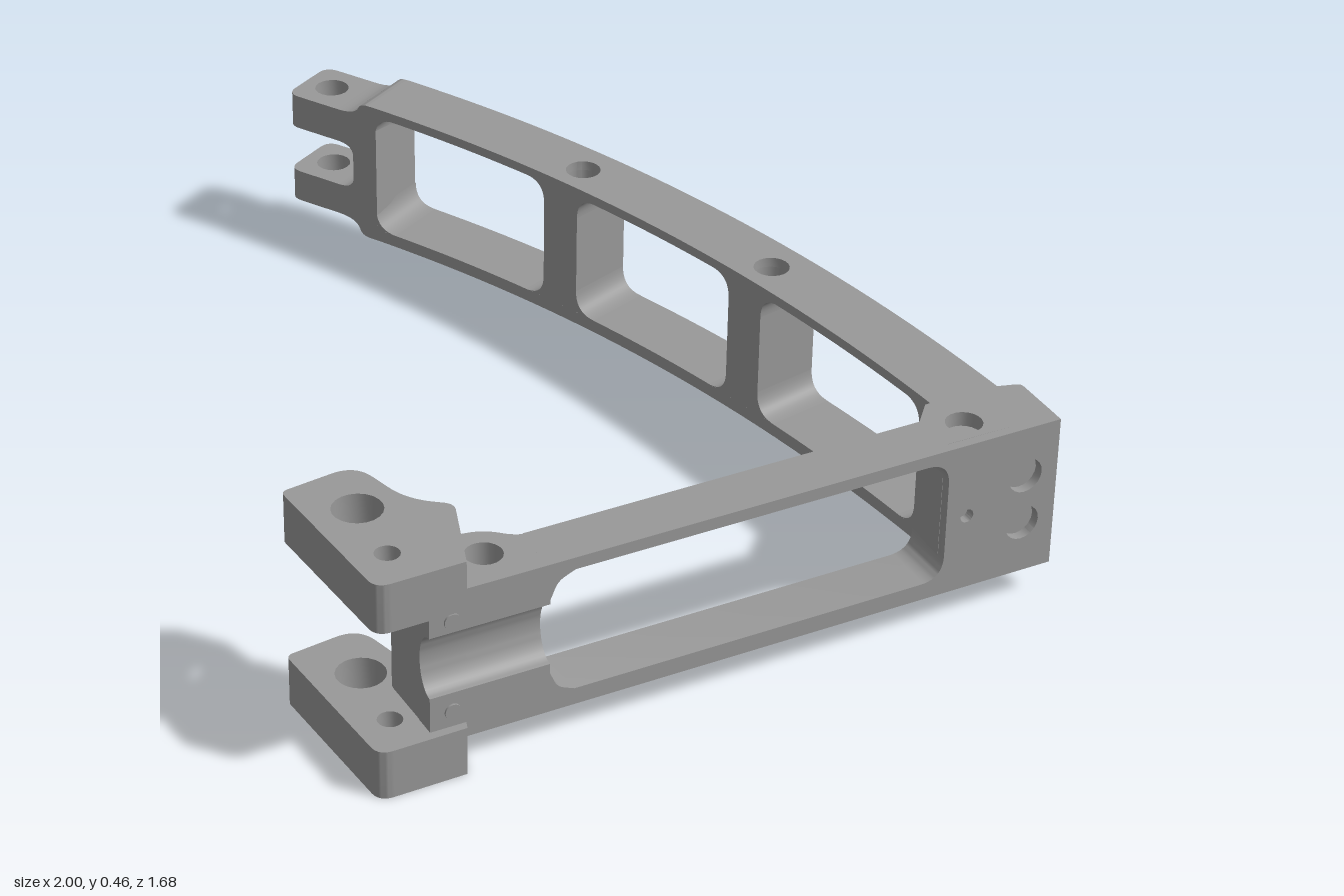
import * as THREE from 'three';
import { toCreasedNormals } from 'three/addons/utils/BufferGeometryUtils.js';

// Dark grey metal
const material = new THREE.MeshStandardMaterial({ color: 0x999999 });
const LOW = 0.07, HIGH = 0.39;

// Polygon whose corners [x, y, radius] may be rounded, always counter-clockwise
function rounded(corners) {
  const flat = corners.map(([x, y]) => new THREE.Vector2(x, y));
  const pts = THREE.ShapeUtils.isClockWise(flat) ? [...corners].reverse() : corners;
  const shape = new THREE.Shape();
  pts.forEach(([x, y, r = 0], i) => {
    const toward = ([qx, qy]) => new THREE.Vector2(qx - x, qy - y).setLength(r).add({ x, y });
    const a = toward(pts[(i + pts.length - 1) % pts.length]);
    const b = toward(pts[(i + 1) % pts.length]);
    if (i === 0) shape.moveTo(a.x, a.y); else shape.lineTo(a.x, a.y);
    if (r) shape.quadraticCurveTo(x, y, b.x, b.y);
  });
  shape.closePath();
  return shape;
}

function extrude(shape, depth) {
  const g = new THREE.ExtrudeGeometry(shape, { depth, bevelEnabled: false, curveSegments: 10 });
  return toCreasedNormals(g, 0.6);
}

function add(parent, name, geometry) {
  const mesh = new THREE.Mesh(geometry, material);
  mesh.name = name;
  parent.add(mesh);
  return mesh;
}

const circle = (x, y, r) => new THREE.Path().absarc(x, y, r, 0, Math.PI * 2, true);

// Plan outline in x, z raised from y0 to y1, with vertical holes [x, z, radius]
function plan(parent, name, pts, y0, y1, holes = []) {
  const shape = rounded(pts.map(([x, z, r]) => [x, -z, r]));
  holes.forEach(([x, z, r]) => shape.holes.push(circle(x, -z, r)));
  const g = extrude(shape, y1 - y0);
  g.rotateX(-Math.PI / 2);
  g.translate(0, y0, 0);
  add(parent, name, g);
}

// Centre line of the curved arm and a band of constant width along it
const HALF = 0.072;
const arcZ = x => -0.775 + 0.145 * (x + 0.85) ** 2;
const slope = x => 0.29 * (x + 0.85);
function band(x0, x1, n) {
  const outer = [], inner = [];
  for (let i = 0; i <= n; i++) {
    const x = x0 + (x1 - x0) * i / n, m = slope(x), k = HALF / Math.hypot(1, m);
    outer.push([x + m * k, arcZ(x) - k]);
    inner.unshift([x - m * k, arcZ(x) + k]);
  }
  return [...outer, ...inner];
}

function buildArm() {
  const arm = new THREE.Group();
  arm.name = 'curvedArm';
  const pinHoles = [-0.26, 0.265].map(x => [x, arcZ(x) + 0.005, 0.036]);
  const y0 = 0.097, y1 = 0.37;

  // Rails and the posts that part the windows
  plan(arm, 'lowerRail', band(-0.79, 0.82, 32), LOW, y0, pinHoles);
  plan(arm, 'upperRail', band(-0.79, 0.82, 32), y1, HIGH, pinHoles);
  pinHoles.forEach(h => plan(arm, 'windowPost', band(h[0] - 0.046, h[0] + 0.046, 4), y0, y1, [h]));
  plan(arm, 'armEnd', band(0.775, 0.82, 2), y0, y1);

  // Rounded window corners
  const r = 0.05;
  const corner = new THREE.Shape();
  corner.moveTo(0, 0);
  corner.lineTo(r, 0);
  corner.quadraticCurveTo(0, 0, 0, r);
  const cornerGeo = extrude(corner, HALF * 2);
  cornerGeo.translate(0, 0, -HALF);
  for (const [a, b] of [[-0.77, -0.306], [-0.214, 0.219], [0.311, 0.775]]) {
    for (const [x, flipX] of [[a, 0], [b, 1]]) {
      for (const flipY of [0, 1]) {
        const c = add(arm, 'windowCorner', cornerGeo);
        c.position.set(x, flipY ? y1 : y0, arcZ(x));
        c.rotation.set(flipX !== flipY ? Math.PI : 0, -Math.atan(slope(x)), flipX * Math.PI, 'YXZ');
      }
    }
  }

  // Fork root with its rounded slot and necked shoulders
  const root = new THREE.Shape();
  root.moveTo(-0.77, LOW);
  root.lineTo(-0.79, LOW);
  root.quadraticCurveTo(-0.81, LOW, -0.815, 0.085);
  root.quadraticCurveTo(-0.825, 0.107, -0.87, 0.107);
  root.lineTo(-0.87, 0.178);
  root.quadraticCurveTo(-0.83, 0.178, -0.83, 0.205);
  root.lineTo(-0.83, 0.257);
  root.quadraticCurveTo(-0.83, 0.284, -0.87, 0.284);
  root.lineTo(-0.87, 0.36);
  root.quadraticCurveTo(-0.825, 0.36, -0.815, 0.377);
  root.quadraticCurveTo(-0.81, HIGH, -0.79, HIGH);
  root.lineTo(-0.77, HIGH);
  const rootGeo = extrude(root, 0.144);
  rootGeo.translate(0, 0, -0.846);
  add(arm, 'forkRoot', rootGeo);

  // Two fork ears with the pin hole
  const ear = [[-1, -0.846, 0.03], [-0.868, -0.846], [-0.868, -0.702], [-1, -0.702, 0.03]];
  for (const [a, b] of [[0.107, 0.178], [0.284, 0.36]]) {
    plan(arm, 'forkEar', ear, a, b, [[-0.935, -0.775, 0.036]]);
  }
  return arm;
}

// Straight strut in its own frame: x runs along it, z goes inward from its outer face
function buildStrut() {
  const strut = new THREE.Group();
  strut.name = 'straightStrut';
  strut.position.set(1, 0, -0.4);
  strut.rotation.y = Math.atan2(-0.869, -0.494);

  // Long window frame, open at the end that meets the groove
  const END = 1.07;
  const frame = rounded([[0.235, LOW], [END, LOW], [END, 0.155], [END - 0.015, 0.12, 0.015], [END - 0.05, 0.105],
    [0.24, 0.105, 0.05], [0.24, 0.365, 0.05],
    [END - 0.05, 0.365], [END - 0.015, 0.35, 0.015], [END, 0.315], [END, HIGH], [0.235, HIGH]]);
  add(strut, 'strutFrame', extrude(frame, 0.111));

  // Face of the corner with its screw holes
  const face = rounded([[0, LOW], [0.24, LOW], [0.24, HIGH], [0, HIGH]]);
  face.holes.push(circle(0.07, 0.18, 0.036), circle(0.07, 0.285, 0.036), circle(0.195, 0.232, 0.014));
  add(strut, 'cornerFace', extrude(face, 0.02));

  // Outer end plate with a concave groove and two small screws
  const section = new THREE.Shape();
  section.moveTo(-0.045, LOW);
  section.lineTo(0, LOW);
  section.lineTo(0, 0.175);
  section.absellipse(0, 0.24, 0.04, 0.065, -Math.PI / 2, Math.PI / 2, true);
  section.lineTo(0, HIGH);
  section.lineTo(-0.045, HIGH);
  const plate = extrude(section, 1.31 - END);
  plate.rotateY(Math.PI / 2);
  plate.translate(END, 0, 0);
  add(strut, 'groovedEnd', plate);
  for (const y of [0.135, 0.33]) {
    const g = new THREE.CylinderGeometry(0.016, 0.016, 0.01, 20);
    g.rotateX(Math.PI / 2);
    add(strut, 'smallScrew', g).position.set(1.265, y, 0.001);
  }
  return strut;
}

export function createModel() {
  const model = new THREE.Group();
  model.name = 'angledBracket';
  model.add(buildArm(), buildStrut());

  // Solid corner joining arm and strut, with a blind hole above and below
  plan(model, 'cornerBlock', [[0.983, -0.41], [0.88, -0.47, 0.01], [0.84, -0.432, 0.01], [0.8, -0.375],
    [0.765, -0.305], [0.775, -0.275, 0.01], [0.785, -0.246], [0.863, -0.201]], LOW, HIGH, [[0.855, -0.29, 0.036]]);
  const plug = add(model, 'blindHoleFloor', new THREE.CylinderGeometry(0.037, 0.037, 0.26, 24));
  plug.position.set(0.855, 0.23, -0.29);

  // Thick inner part of the strut end, swelling around its pin hole
  plan(model, 'pinBoss', [[0.432, 0.508], [0.314, 0.716], [0.205, 0.655, 0.02], [0.22, 0.57, 0.015],
    [0.27, 0.555, 0.02], [0.31, 0.505, 0.03], [0.365, 0.488, 0.02], [0.385, 0.468]], LOW, HIGH, [[0.353, 0.567, 0.036]]);

  // Matching lower and upper lugs
  const lug = [[0, 0.69, 0.015], [0.06, 0.545, 0.05], [0.2, 0.585, 0.05], [0.28, 0.55, 0.02],
    [0.4, 0.69], [0.315, 0.845, 0.03]];
  const lugHoles = [[0.145, 0.658, 0.048], [0.27, 0.745, 0.024]];
  plan(model, 'lowerLug', lug, 0, 0.102, lugHoles);
  plan(model, 'upperLug', lug, 0.358, 0.46, lugHoles);
  return model;
}
